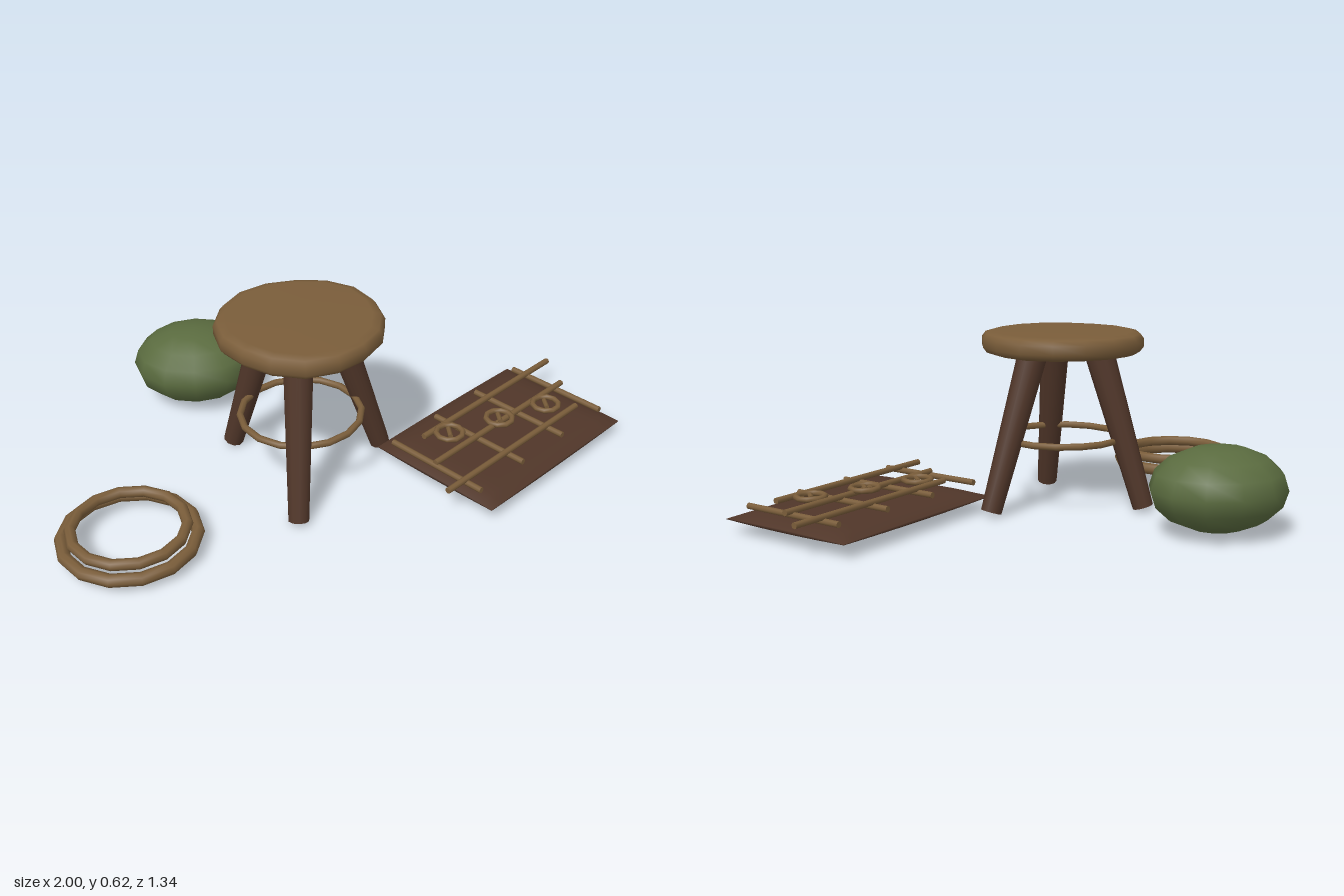
import * as THREE from 'three';
import { mergeVertices } from 'three/addons/utils/BufferGeometryUtils.js';

const mat = (name, color) => {
  const m = new THREE.MeshStandardMaterial({ color });
  m.name = name;
  return m;
};

export function createModel() {
  const wood = mat('light wood', 0x7a5d3a);
  const dark = mat('dark wood', 0x503629);
  const green = mat('green', 0x5a6b3f);
  const root = new THREE.Group();
  root.name = 'campSet';

  const add = (parent, name, geo, material, x = 0, y = 0, z = 0) => {
    const m = new THREE.Mesh(geo, material);
    m.name = name;
    m.position.set(x, y, z);
    parent.add(m);
    return m;
  };
  const group = (name, x, y, z, ry = 0) => {
    const g = new THREE.Group();
    g.name = name;
    g.position.set(x, y, z);
    g.rotation.y = ry;
    root.add(g);
    return g;
  };
  // Tapered round bar between two points
  const bar = (parent, name, a, b, ra, rb, material, sides = 8) => {
    const p = new THREE.Vector3(...a), q = new THREE.Vector3(...b);
    const d = q.clone().sub(p);
    const m = add(parent, name, new THREE.CylinderGeometry(rb, ra, d.length(), sides), material);
    m.position.copy(p).add(q).multiplyScalar(0.5);
    m.quaternion.setFromUnitVectors(new THREE.Vector3(0, 1, 0), d.normalize());
    return m;
  };
  // Ring lying flat
  const hoop = (parent, name, r, tube, segs, x, y, z) =>
    add(parent, name, new THREE.TorusGeometry(r, tube, 8, segs).rotateX(Math.PI / 2), wood, x, y, z);

  // Stool: slightly uneven round seat, three splayed legs, hoop stretcher
  const stool = group('stool', -0.17, 0, 0.052);
  const profile = [[0, 0.54], [0.245, 0.54], [0.272, 0.548], [0.285, 0.565], [0.285, 0.595],
    [0.272, 0.612], [0.245, 0.619], [0, 0.621]].map(p => new THREE.Vector2(...p));
  const seat = new THREE.LatheGeometry(profile, 16);
  const sp = seat.attributes.position;
  for (let i = 0; i < sp.count; i++) {
    const a = Math.atan2(sp.getX(i), sp.getZ(i));
    const k = 1 + 0.016 * Math.sin(3 * a + 1) + 0.012 * Math.cos(5 * a);
    sp.setX(i, sp.getX(i) * k);
    sp.setZ(i, sp.getZ(i) * k);
  }
  add(stool, 'seat', seat, wood);
  const legs = [
    [[-0.035, 0.008, 0.305], [-0.015, 0.56, 0.135]],
    [[0.285, 0.012, -0.122], [0.118, 0.56, -0.06]],
    [[-0.245, 0.012, -0.185], [-0.105, 0.56, -0.09]],
  ];
  for (const [a, b] of legs) bar(stool, 'leg', a, b, 0.036, 0.052, dark, 10);
  hoop(stool, 'stretcherHoop', 0.21, 0.012, 16, -0.005, 0.242, 0.003);

  // Green bundle
  add(root, 'greenBundle', new THREE.SphereGeometry(1, 12, 8).scale(0.233, 0.142, 0.2),
    green, -0.547, 0.152, -0.472);

  // Coil of two stacked rings
  const coil = group('coil', -0.757, 0, 0.43);
  hoop(coil, 'lowerRing', 0.221, 0.022, 14, 0, 0.045, 0);
  hoop(coil, 'upperRing', 0.189, 0.019, 14, 0, 0.081, 0);

  // Padded mat, pinched along its border
  const W = 0.74, D = 0.52;
  const bundle = group('matAndLattice', 0.55, 0, -0.025, 0.703);
  let pad = new THREE.BoxGeometry(W, 2, D, 16, 1, 12);
  const pp = pad.attributes.position;
  for (let i = 0; i < pp.count; i++) {
    const x = pp.getX(i), z = pp.getZ(i);
    const edge = Math.min(W / 2 - Math.abs(x), D / 2 - Math.abs(z));
    const t = Math.min(1, edge / 0.09);
    const mid = (1 - (2 * x / W) ** 2) + (1 - (2 * z / D) ** 2);
    const half = 0.001 + 0.004 * Math.min(1, mid) + 0.02 * t * (2 - t);
    pp.setY(i, 0.046 + Math.sign(pp.getY(i)) * half);
  }
  pad.deleteAttribute('normal');
  pad.deleteAttribute('uv');
  pad = mergeVertices(pad);
  pad.computeVertexNormals();
  add(bundle, 'mat', pad, dark);

  // Lattice: three staggered long rods over four cross rods
  for (const k of [-1, 0, 1]) {
    const v = k * 0.133, u = -k * 0.09;
    bar(bundle, 'longRod', [u - 0.36, 0.104, v], [u + 0.36, 0.104, v], 0.011, 0.011, wood);
  }
  for (let i = 0; i < 4; i++) {
    const u = -0.355 + i * 0.227;
    bar(bundle, 'crossRod', [u, 0.09, -0.2], [u, 0.09, 0.2], 0.011, 0.011, wood);
  }

  // Three small loops with a short peg in each
  for (const [x, z] of [[0.35, 0.045], [0.543, -0.03], [0.73, -0.105]]) {
    hoop(root, 'loop', 0.048, 0.01, 10, x, 0.114, z);
    bar(root, 'loopPeg', [x, 0.114, z - 0.025], [x, 0.114, z + 0.025], 0.009, 0.009, wood, 6);
  }
  return root;
}
